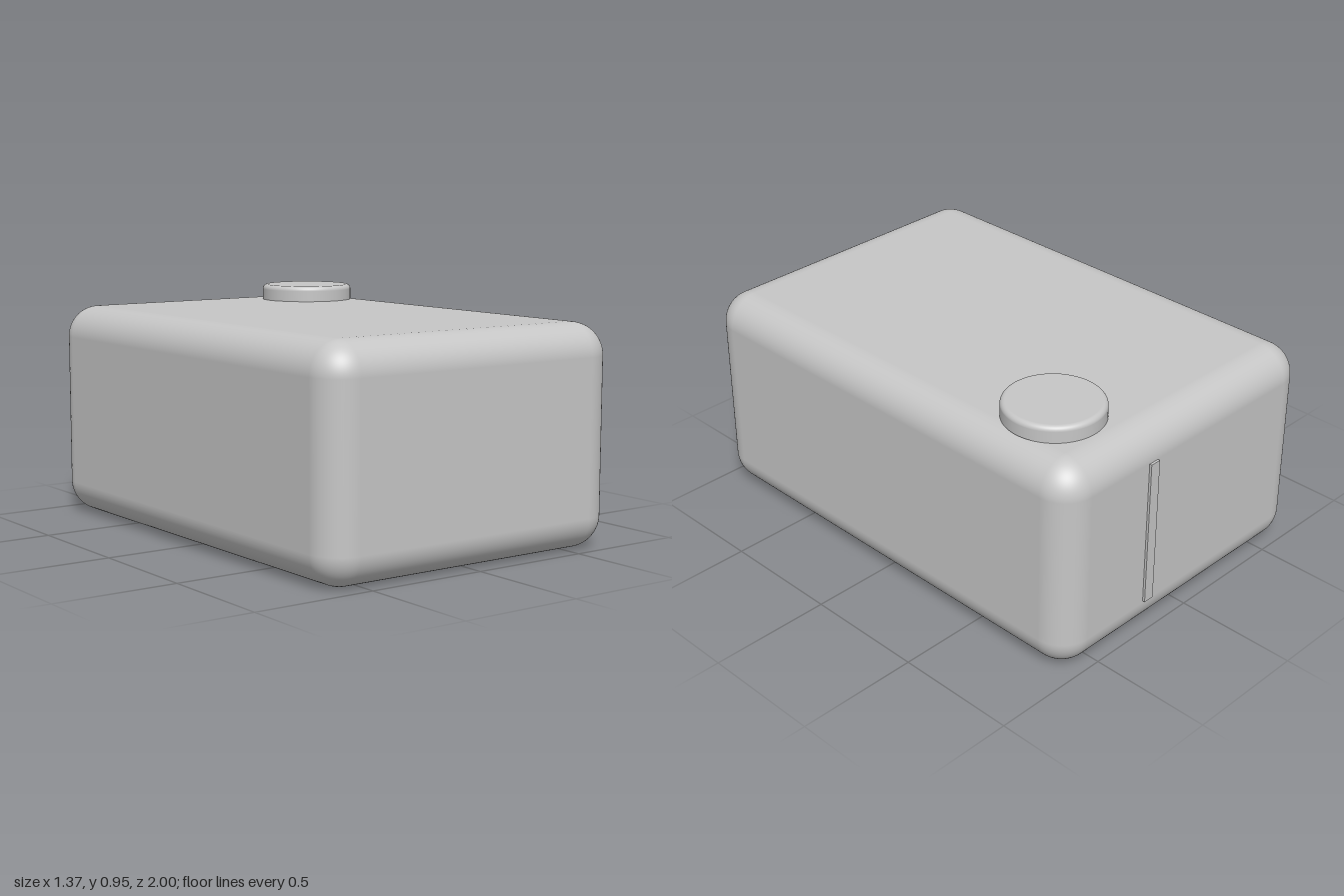
import * as THREE from 'three';
import { RoundedBoxGeometry } from 'three/addons/geometries/RoundedBoxGeometry.js';

export function createModel() {
  const model = new THREE.Group();
  const grey = new THREE.MeshStandardMaterial({ color: 0xc6c6c6 });
  grey.name = 'lightGrey';

  const add = (name, geometry, x, y, z) => {
    const mesh = new THREE.Mesh(geometry, grey);
    mesh.name = name;
    mesh.position.set(x, y, z);
    model.add(mesh);
  };

  // Rounded case
  const bodyHeight = 0.886;
  add('body', new RoundedBoxGeometry(1.366, bodyHeight, 1.99, 10, 0.13), 0, bodyHeight / 2, 0.005);

  // Round button: closed disc with a filleted top edge
  const radius = 0.197, height = 0.066, fillet = 0.02;
  const outline = new THREE.Path();
  outline.moveTo(radius, 0);
  outline.lineTo(radius, height - fillet);
  outline.absarc(radius - fillet, height - fillet, fillet, 0, Math.PI / 2, false);
  const side = new THREE.LatheGeometry(outline.getPoints(8), 64);
  add('buttonSide', side, 0.395, bodyHeight, -0.657);

  // Flat top and underside of the button
  const top = new THREE.CircleGeometry(radius - fillet, 64).rotateX(-Math.PI / 2);
  add('buttonTop', top, 0.395, bodyHeight + height, -0.657);
  const underside = new THREE.CircleGeometry(radius, 64).rotateX(Math.PI / 2);
  add('buttonUnderside', underside, 0.395, bodyHeight, -0.657);

  // Thin upright bar on the back face
  add('backBar', new THREE.BoxGeometry(0.046, 0.616, 0.02), 0.22, 0.445, -0.99);

  return model;
}
